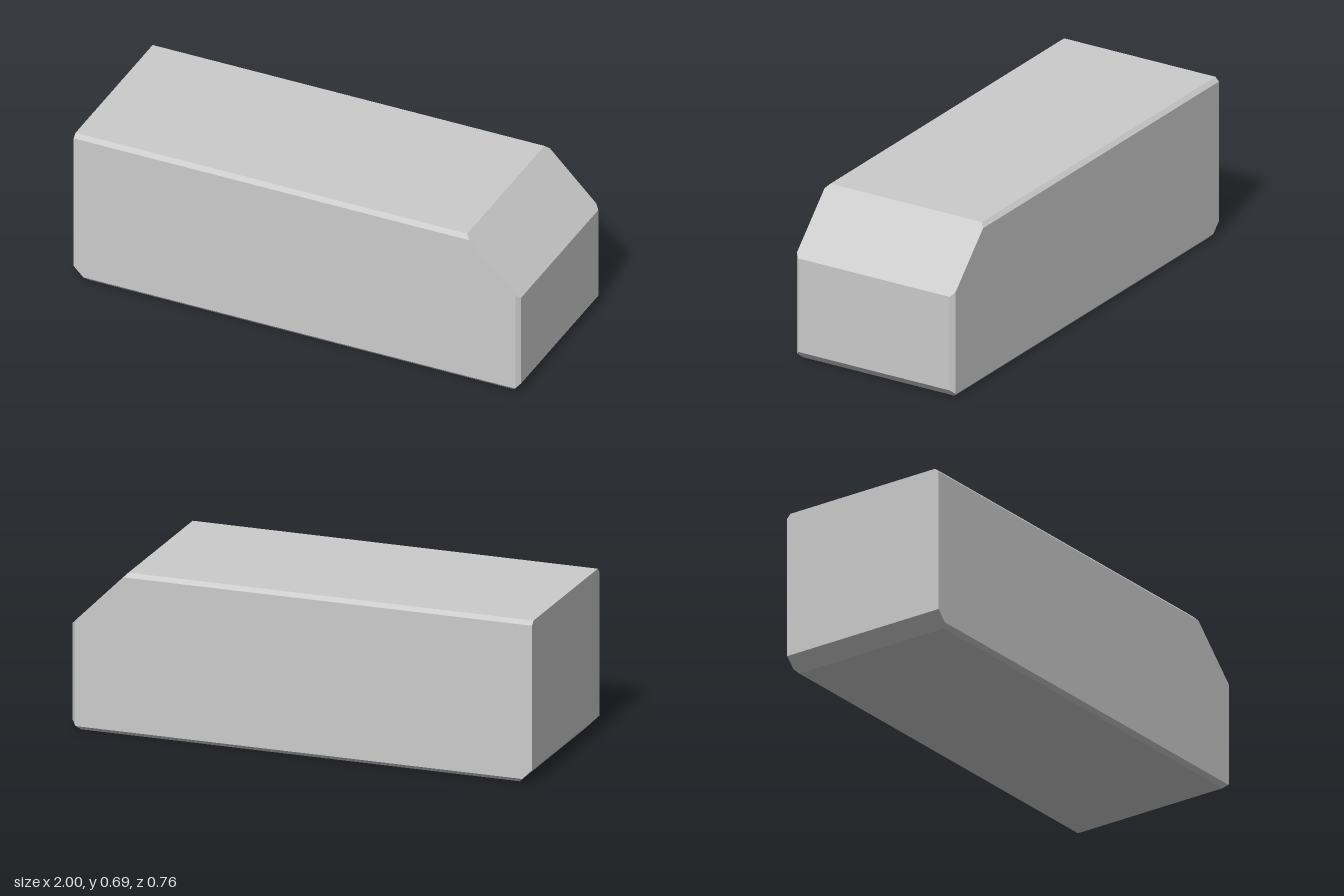
import * as THREE from 'three';
import { ConvexGeometry } from 'three/addons/geometries/ConvexGeometry.js';

// Block with a large sloped corner, small chamfered corners and bevelled long edges.
export function createModel() {
  const group = new THREE.Group();
  group.name = 'chamferedBlock';

  const halfDepth = 0.381, bevel = 0.017, height = 0.692;

  // Outline of the flat side faces (x, y)
  const side = [
    [-1, 0.06], [-1, height - bevel], [0.758 + bevel, height - bevel],
    [1 - bevel, 0.45 + bevel], [1 - bevel, 0.037 - bevel],
    [0.963 + bevel, bevel], [-0.94 - bevel, bevel],
  ];
  // Full outline, reached one bevel further in
  const rim = [
    [-1, height], [0.758, height], [1, 0.45], [1, 0.037], [0.963, 0], [-0.94, 0],
  ];

  const points = [];
  for (const s of [1, -1]) {
    for (const [x, y] of side) points.push(new THREE.Vector3(x, y, s * halfDepth));
    for (const [x, y] of rim) points.push(new THREE.Vector3(x, y, s * (halfDepth - bevel)));
  }

  const body = new THREE.Mesh(
    new ConvexGeometry(points),
    new THREE.MeshStandardMaterial({ color: 0xcccccc, flatShading: true }),
  );
  body.name = 'body';
  group.add(body);
  return group;
}
